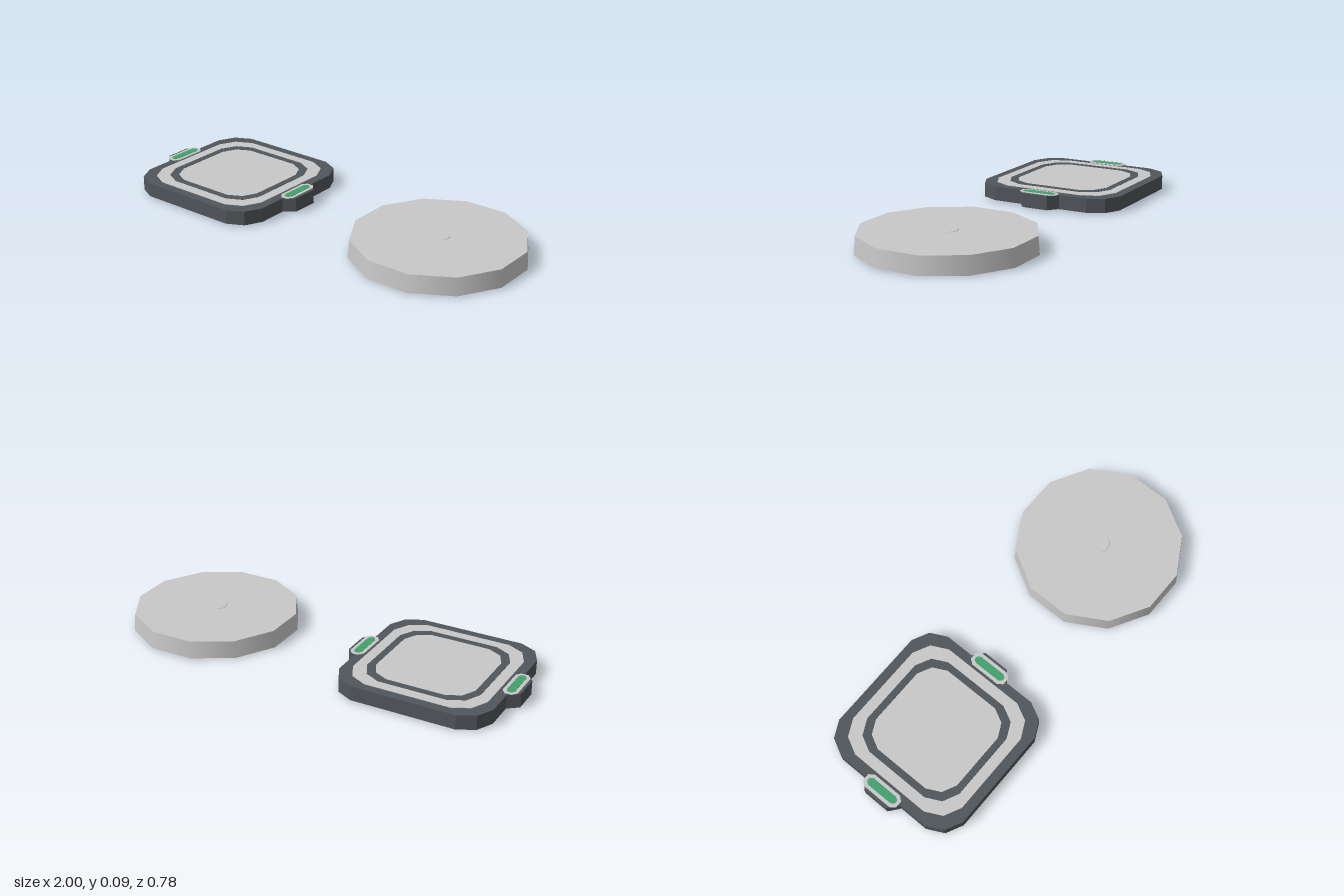
import * as THREE from 'three';

const mat = (name, color, side = THREE.FrontSide) => {
  const m = new THREE.MeshStandardMaterial({ color, side });
  m.name = name;
  return m;
};

export function createModel() {
  const light = mat('light grey', 0xc8c8c8);
  const dark = mat('dark grey', 0x50565b);
  const green = mat('green', 0x42a06c);
  const rib = mat('rib grey', 0x8c8c8c);
  const black = mat('black', 0x050505);

  const add = (parent, name, geometry, material) => {
    const m = new THREE.Mesh(geometry, material);
    m.name = name;
    parent.add(m);
    return m;
  };
  const shapeOf = (pts) => new THREE.Shape(pts.map(([x, y]) => new THREE.Vector2(x, y)));
  // Plan outline raised from y0 to y1, optionally with a hole
  const slab = (pts, y0, y1, hole) => {
    const s = shapeOf(pts);
    if (hole) s.holes.push(shapeOf(hole));
    return new THREE.ExtrudeGeometry(s, { depth: y1 - y0, bevelEnabled: false })
      .rotateX(-Math.PI / 2).translate(0, y0, 0);
  };
  // Mirror the points of one quadrant into a full outline
  const quad = (q) => [
    ...q,
    ...[...q].reverse().map(([x, y]) => [-x, y]),
    ...q.map(([x, y]) => [-x, -y]),
    ...[...q].reverse().map(([x, y]) => [x, -y]),
  ];
  // Square with two-step corners
  const square = (h, c) => quad([[h, h - c], [h - c / 3, h - c / 3], [h - c, h]]);
  const ngon = (n, r, turn = 0) => Array.from({ length: n }, (_, i) => {
    const a = turn + (i / n) * Math.PI * 2;
    return [r * Math.cos(a), r * Math.sin(a)];
  });
  // Curved rib from the hub to the rim
  const spoke = (r0, r1, w) => {
    const curve = new THREE.QuadraticBezierCurve(
      new THREE.Vector2(r0, 0),
      new THREE.Vector2(r0 + (r1 - r0) * 0.6, -0.01),
      new THREE.Vector2(r1 * Math.cos(0.3), r1 * Math.sin(0.3)));
    const a = [], b = [];
    for (let i = 0; i <= 8; i++) {
      const p = curve.getPoint(i / 8), t = curve.getTangent(i / 8);
      a.push([p.x + t.y * w / 2, p.y - t.x * w / 2]);
      b.unshift([p.x - t.y * w / 2, p.y + t.x * w / 2]);
    }
    return slab([...a, ...b], 0.002, 0.03);
  };
  const ribs = (parent, count, hubR, endR) => {
    add(parent, 'hubRing', slab(ngon(16, hubR), 0, 0.03, ngon(16, hubR - 0.024)), rib);
    for (let i = 0; i < count; i++) {
      add(parent, 'spoke', spoke(hubR - 0.012, endR, 0.022), rib)
        .rotation.y = (i / count) * Math.PI * 2;
    }
  };

  const model = new THREE.Group();
  model.name = 'squareAndRoundPads';

  // Square pad
  const pad = new THREE.Group();
  pad.name = 'squarePad';
  pad.position.x = -0.58;
  model.add(pad);
  const outline = quad([[0.42, 0.065], [0.37, 0.105], [0.37, 0.25], [0.33, 0.33], [0.25, 0.37]]);
  const cavity = square(0.345, 0.12);
  add(pad, 'padCap', slab(outline, 0.05, 0.076), dark);
  add(pad, 'padRim', slab(outline, 0.007, 0.05, cavity), dark);
  add(pad, 'padUnderside', slab(cavity, 0.046, 0.05), black);
  add(pad, 'topPanel', slab(square(0.325, 0.12), 0.076, 0.078), light);
  add(pad, 'panelBand', slab(square(0.275, 0.11), 0.078, 0.079, square(0.242, 0.1)), dark);
  ribs(pad, 4, 0.088, 0.37);

  // Lights on the two side tabs
  for (const s of [-1, 1]) {
    const tab = new THREE.Group();
    tab.name = s > 0 ? 'leftTabLight' : 'rightTabLight';
    tab.position.x = s * 0.373;
    pad.add(tab);
    add(tab, 'tabFrame', slab(quad([[0.035, 0.075], [0.017, 0.098]]), 0.076, 0.0785), light);
    add(tab, 'tabLamp', slab(quad([[0.019, 0.066], [0.009, 0.082]]), 0.0785, 0.08), green);
  }

  // Round twelve-sided pad, hollow underneath
  const disc = new THREE.Group();
  disc.name = 'roundPad';
  disc.position.x = 0.607;
  model.add(disc);
  const band = (name, pts, material) => add(disc, name, new THREE.LatheGeometry(
    pts.map(([r, y]) => new THREE.Vector2(r, y)), 12, Math.PI / 12), material);
  band('discWall', [[0.406, 0.005], [0.399, 0.089]], light);
  band('discTop', [[0.399, 0.089], [0, 0.089]], light);
  band('discRim', [[0.382, 0.005], [0.406, 0.005]], light);
  band('discInnerWall', [[0.378, 0.05], [0.382, 0.005]], light);
  band('discUnderside', [[0, 0.05], [0.378, 0.05]], black);
  add(disc, 'topButton', new THREE.CylinderGeometry(0.047, 0.049, 0.003, 24), light)
    .position.y = 0.0898;
  const turn = Math.PI / 12;
  add(disc, 'supportRing', slab(ngon(12, 0.34, turn), 0.003, 0.03, ngon(12, 0.318, turn)), light);
  ribs(disc, 6, 0.12, 0.325);

  return model;
}
